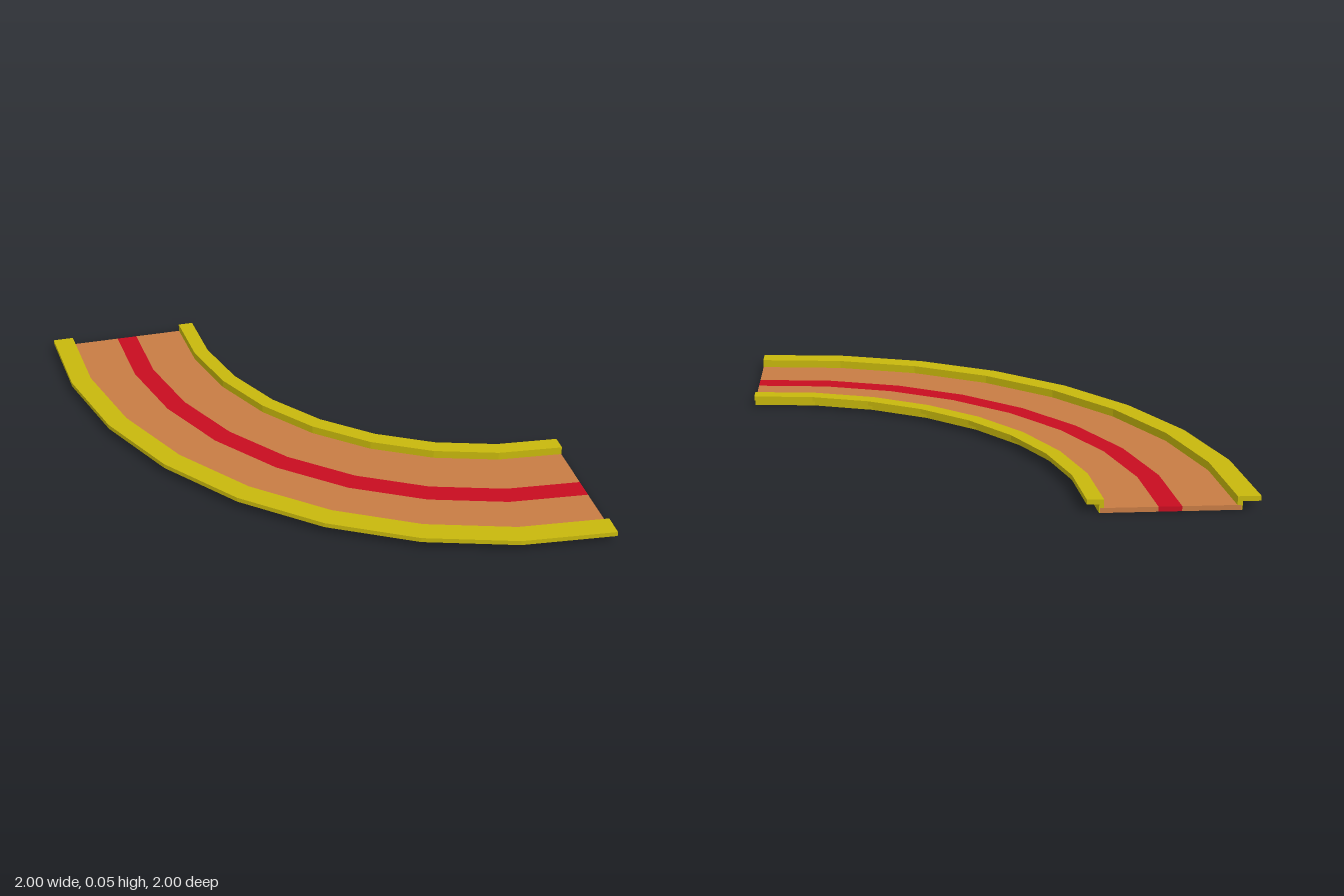
import * as THREE from 'three';

const SEGMENTS = 8;

// Point on the quarter bend, whose centre lies at x = 1, z = -1
function bendPoint([r, y], step) {
  const a = (step / SEGMENTS) * Math.PI / 2;
  return [1 - r * Math.cos(a), y, -1 + r * Math.sin(a)];
}

// Sweeps a closed counter-clockwise (radius, height) profile round the bend, with end caps
function sweep(name, profile, color) {
  const pos = [];
  const tri = (...points) => points.forEach((p) => pos.push(...p));
  for (let s = 0; s < SEGMENTS; s++) {
    profile.forEach((p, i) => {
      const q = profile[(i + 1) % profile.length];
      const a = bendPoint(p, s), b = bendPoint(p, s + 1);
      const c = bendPoint(q, s + 1), d = bendPoint(q, s);
      tri(a, b, c);
      tri(a, c, d);
    });
  }
  const outline = profile.map(([r, y]) => new THREE.Vector2(r, y));
  for (const [i, j, k] of THREE.ShapeUtils.triangulateShape(outline, [])) {
    tri(...[i, j, k].map((n) => bendPoint(profile[n], 0)));
    tri(...[k, j, i].map((n) => bendPoint(profile[n], SEGMENTS)));
  }
  const geometry = new THREE.BufferGeometry();
  geometry.setAttribute('position', new THREE.Float32BufferAttribute(pos, 3));
  geometry.computeVertexNormals();
  const mesh = new THREE.Mesh(geometry, new THREE.MeshStandardMaterial({ color, flatShading: true }));
  mesh.name = name;
  return mesh;
}

const slab = (r0, r1, y0, y1) => [[r0, y0], [r1, y0], [r1, y1], [r0, y1]];

export function createModel() {
  const group = new THREE.Group();
  group.name = 'curvedTrack';
  const orange = 0xc87c44, red = 0xc80c20, yellow = 0xc8b80c;
  const floorTop = 0.02, lipBottom = 0.035, top = 0.055;

  // Road bed in three bands
  group.add(sweep('innerLane', slab(1.389, 1.61, 0, floorTop), orange));
  group.add(sweep('centreStripe', slab(1.61, 1.7, 0, floorTop), red));
  group.add(sweep('outerLane', slab(1.7, 1.926, 0, floorTop), orange));

  // Rails: a wall on the bed edge, a lip overhanging outwards and a thin skirt down to the ground
  group.add(sweep('outerRail', [
    [1.91, floorTop], [1.926, floorTop], [1.926, 0], [1.93, 0],
    [1.93, lipBottom], [2, lipBottom], [2, top], [1.91, top],
  ], yellow));
  group.add(sweep('innerRail', [
    [1.385, 0], [1.389, 0], [1.389, floorTop], [1.403, floorTop],
    [1.403, top], [1.338, top], [1.338, lipBottom], [1.385, lipBottom],
  ], yellow));
  return group;
}
